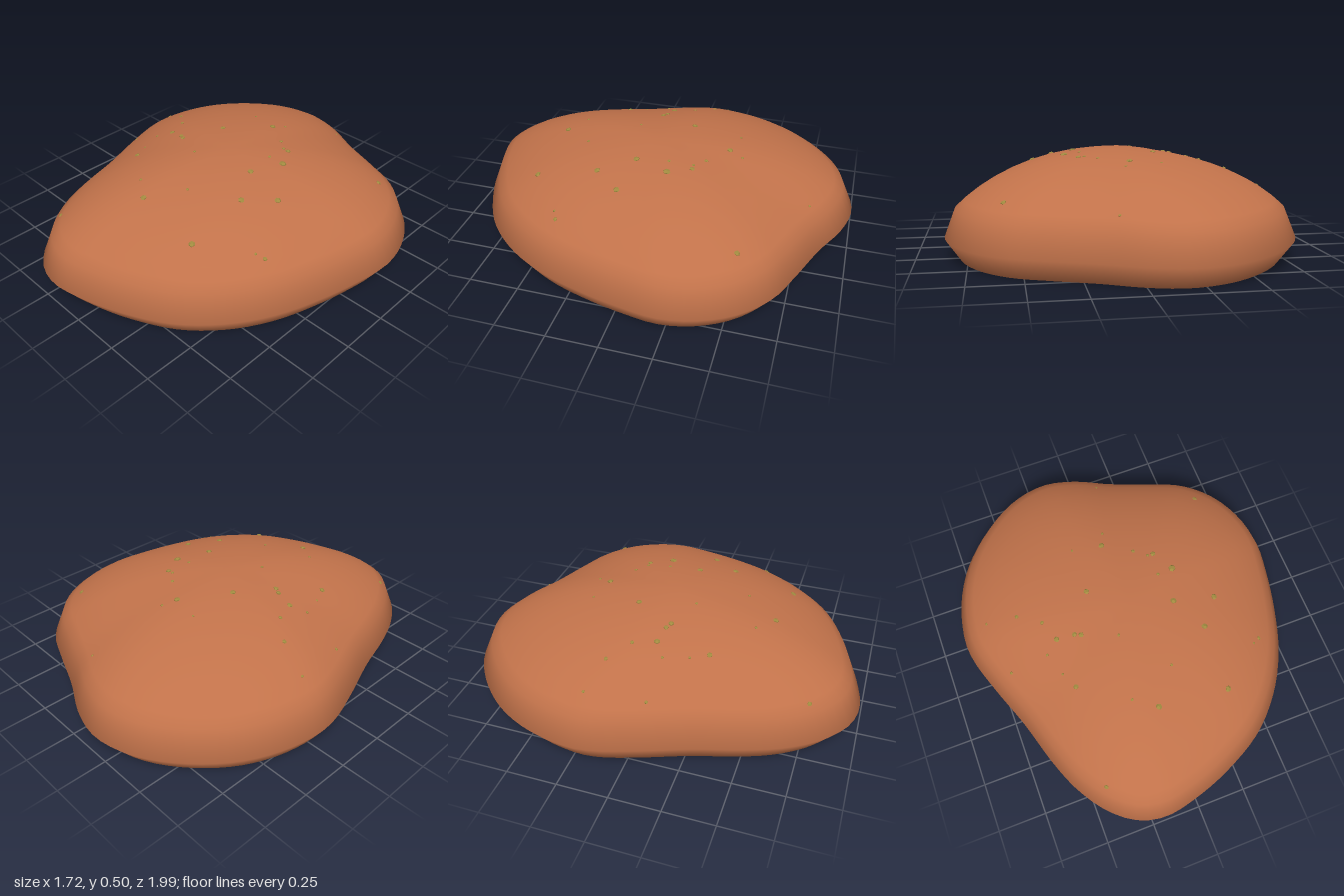
import * as THREE from 'three';

const SEGMENTS = 96;

// Footprint of the stone at its widest level, as x, z pairs.
const FOOTPRINT = [
  [0.862, -0.23], [0.84, -0.05], [0.79, 0.17], [0.71, 0.4], [0.59, 0.6], [0.42, 0.77],
  [0.2, 0.89], [0, 0.96], [-0.18, 0.992], [-0.32, 0.96], [-0.45, 0.86], [-0.56, 0.7],
  [-0.63, 0.53], [-0.7, 0.3], [-0.79, 0.06], [-0.85, -0.13], [-0.862, -0.25], [-0.82, -0.47],
  [-0.72, -0.67], [-0.55, -0.85], [-0.37, -0.96], [-0.18, -0.999], [0, -0.96], [0.2, -0.865],
  [0.42, -0.78], [0.6, -0.7], [0.74, -0.57], [0.83, -0.4],
];

// Fleck positions on the dome: x, z, size.
const FLECKS = [
  [0.1, -0.79, 0.007], [0.58, -0.52, 0.014], [0.01, -0.43, 0.008], [-0.17, -0.39, 0.007],
  [-0.02, -0.36, 0.016], [0.12, -0.27, 0.01], [0.21, -0.22, 0.014], [0.18, -0.22, 0.009],
  [0.27, -0.11, 0.019], [0.19, -0.1, 0.009], [-0.71, -0.22, 0.008], [-0.55, -0.17, 0.011],
  [-0.18, -0.14, 0.015], [-0.44, -0.08, 0.01], [-0.4, 0.03, 0.015], [-0.31, 0.045, 0.013],
  [-0.28, 0.06, 0.014], [-0.47, 0.08, 0.008], [-0.67, 0.07, 0.009], [-0.11, 0.135, 0.008],
  [0.21, 0.06, 0.016], [0.42, 0.095, 0.016], [0.31, 0.23, 0.016], [-0.43, 0.2, 0.007],
  [-0.39, 0.285, 0.014], [0.08, 0.36, 0.008], [0.575, 0.35, 0.011], [0.535, 0.37, 0.007],
  [-0.16, 0.45, 0.008], [-0.05, 0.525, 0.016], [0.31, 0.55, 0.016], [-0.415, 0.77, 0.012],
];

const domeHeight = (s) => 0.502 * Math.sqrt(1 - 0.87 * s * s);

const outline = new THREE.CatmullRomCurve3(
  FOOTPRINT.map(([x, z]) => new THREE.Vector3(x, 0, z)), true
).getSpacedPoints(SEGMENTS).slice(0, SEGMENTS);

// How far a point lies from the centre (0) towards the outline (1).
function outlineFraction(x, z) {
  for (let i = 0; i < SEGMENTS; i++) {
    const a = outline[i], b = outline[(i + 1) % SEGMENTS];
    const det = a.x * b.z - a.z * b.x;
    const u = (x * b.z - z * b.x) / det;
    const v = (a.x * z - a.z * x) / det;
    if (u >= 0 && v >= 0) return u + v;
  }
  return 0;
}

const surfaceHeight = (x, z) => domeHeight(Math.min(outlineFraction(x, z), 0.94));

// Rings from the crown, over the dome and rim, to the flat underside.
function stoneGeometry() {
  const rings = [];
  for (const s of [0.1, 0.22, 0.34, 0.46, 0.57, 0.67, 0.76, 0.83, 0.89, 0.94]) {
    rings.push([s, domeHeight(s)]);
  }
  rings.push([1, 0.105], [0.92, 0], [0.7, 0], [0.35, 0]);

  const positions = [0, domeHeight(0), 0];
  for (const [s, y] of rings) {
    for (const p of outline) positions.push(p.x * s, y, p.z * s);
  }
  positions.push(0, 0, 0);

  const index = [];
  const at = (ring, i) => 1 + ring * SEGMENTS + (i % SEGMENTS);
  const last = rings.length - 1;
  const bottom = 1 + rings.length * SEGMENTS;
  for (let i = 0; i < SEGMENTS; i++) {
    index.push(0, at(0, i + 1), at(0, i));
    for (let r = 0; r < last; r++) {
      index.push(at(r, i), at(r, i + 1), at(r + 1, i));
      index.push(at(r, i + 1), at(r + 1, i + 1), at(r + 1, i));
    }
    index.push(at(last, i), at(last, i + 1), bottom);
  }

  const geometry = new THREE.BufferGeometry();
  geometry.setAttribute('position', new THREE.Float32BufferAttribute(positions, 3));
  geometry.setIndex(index);
  geometry.computeVertexNormals();
  return geometry;
}

export function createModel() {
  const group = new THREE.Group();
  group.name = 'speckledStone';
  const terracotta = new THREE.MeshStandardMaterial({ color: 0xc1724a });
  terracotta.name = 'terracotta';
  const olive = new THREE.MeshStandardMaterial({ color: 0xa08a40 });
  olive.name = 'olive';

  const stone = new THREE.Mesh(stoneGeometry(), terracotta);
  stone.name = 'stone';
  group.add(stone);

  // Small flattened grains lying on the dome
  const flecks = new THREE.Group();
  flecks.name = 'flecks';
  const grain = new THREE.DodecahedronGeometry(1, 0);
  const up = new THREE.Vector3(0, 1, 0);
  const d = 0.02;
  FLECKS.forEach(([x, z, size], i) => {
    const fleck = new THREE.Mesh(grain, olive);
    fleck.name = `fleck${i + 1}`;
    fleck.position.set(x, surfaceHeight(x, z), z);
    fleck.scale.set(size, size * 0.5, size);
    const normal = new THREE.Vector3(
      surfaceHeight(x - d, z) - surfaceHeight(x + d, z),
      2 * d,
      surfaceHeight(x, z - d) - surfaceHeight(x, z + d)
    ).normalize();
    fleck.quaternion.setFromUnitVectors(up, normal);
    fleck.rotateY(i * 1.7);
    flecks.add(fleck);
  });
  group.add(flecks);

  return group;
}
